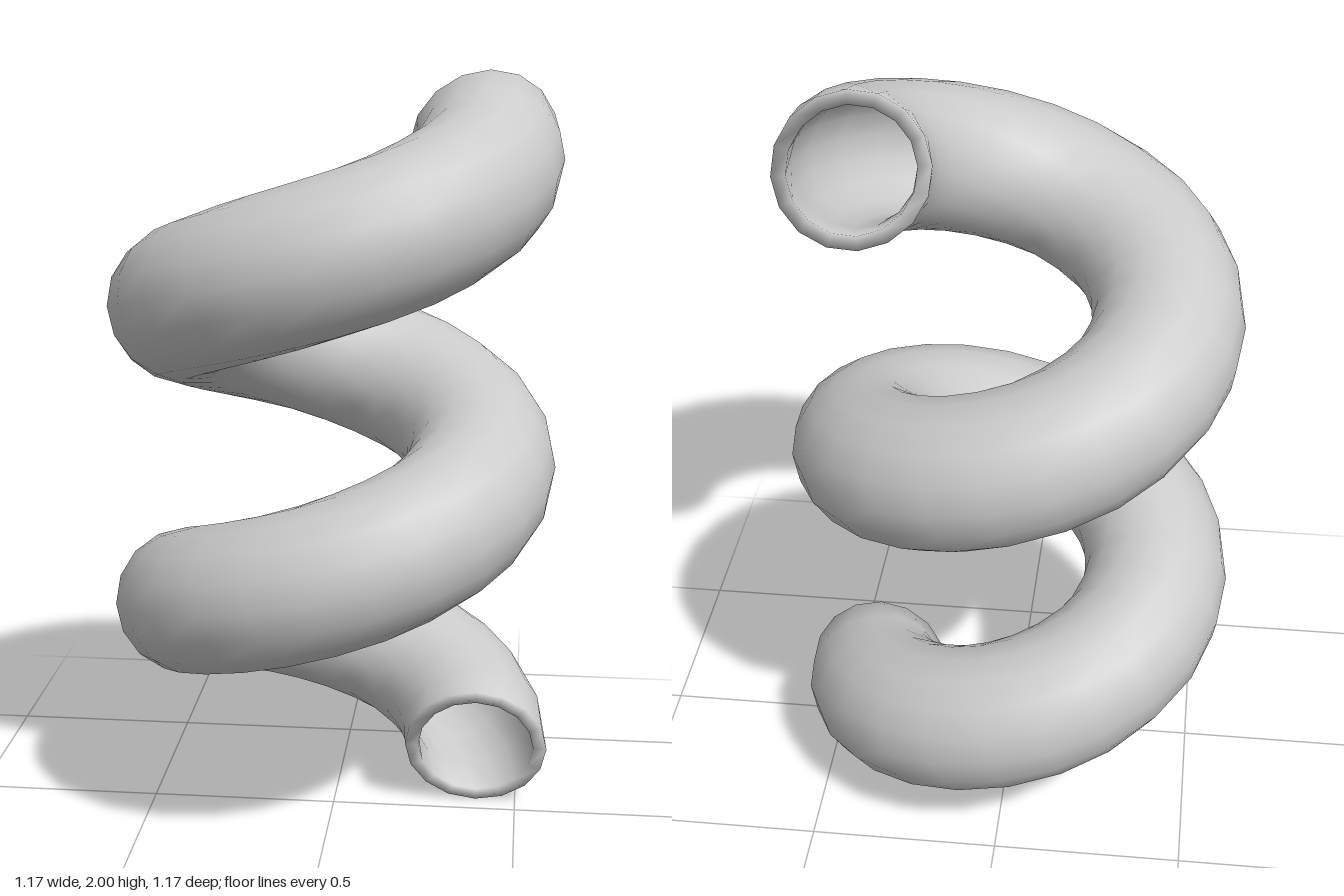
import * as THREE from 'three';

const SIDES = 16;            // sides of the pipe
const STEPS = 24;            // rings per turn
const COUNT = 2 * STEPS + 1; // two turns and one more step
const COIL = 0.39, PITCH = 0.8;
const OUTER = 0.193, INNER = 0.157;
const START_Y = 0.1835;

// one ring of pipe points, square to the helix at step i
function ring(i, radius) {
  const a = (i / STEPS) * Math.PI * 2;
  const out = new THREE.Vector3(Math.cos(a), 0, -Math.sin(a));
  const along = new THREE.Vector3(
    -COIL * Math.sin(a), PITCH / (Math.PI * 2), -COIL * Math.cos(a)).normalize();
  const up = along.cross(out);
  const centre = out.clone().multiplyScalar(COIL);
  centre.y = START_Y + (PITCH * i) / STEPS;
  return Array.from({ length: SIDES }, (_, j) => {
    const t = (j / SIDES) * Math.PI * 2;
    return centre.clone()
      .addScaledVector(out, radius * Math.cos(t))
      .addScaledVector(up, radius * Math.sin(t));
  });
}

// outer wall up the helix, inner wall back down; the rims join the two
function hollowCoil() {
  const rings = [];
  for (let i = 0; i <= COUNT; i++) rings.push(ring(i, OUTER));
  for (let i = COUNT; i >= 0; i--) rings.push(ring(i, INNER));

  const index = [];
  for (let i = 0; i < rings.length; i++) {
    const p = i * SIDES, q = ((i + 1) % rings.length) * SIDES;
    for (let j = 0; j < SIDES; j++) {
      const k = (j + 1) % SIDES;
      index.push(p + j, p + k, q + j, p + k, q + k, q + j);
    }
  }
  const geometry = new THREE.BufferGeometry().setFromPoints(rings.flat());
  geometry.setIndex(index);
  geometry.computeVertexNormals();
  return geometry;
}

export function createModel() {
  const group = new THREE.Group();
  group.name = 'coiledPipe';
  const coil = new THREE.Mesh(
    hollowCoil(), new THREE.MeshStandardMaterial({ color: 0xcccccc }));
  coil.name = 'hollowCoil';
  group.add(coil);
  return group;
}
